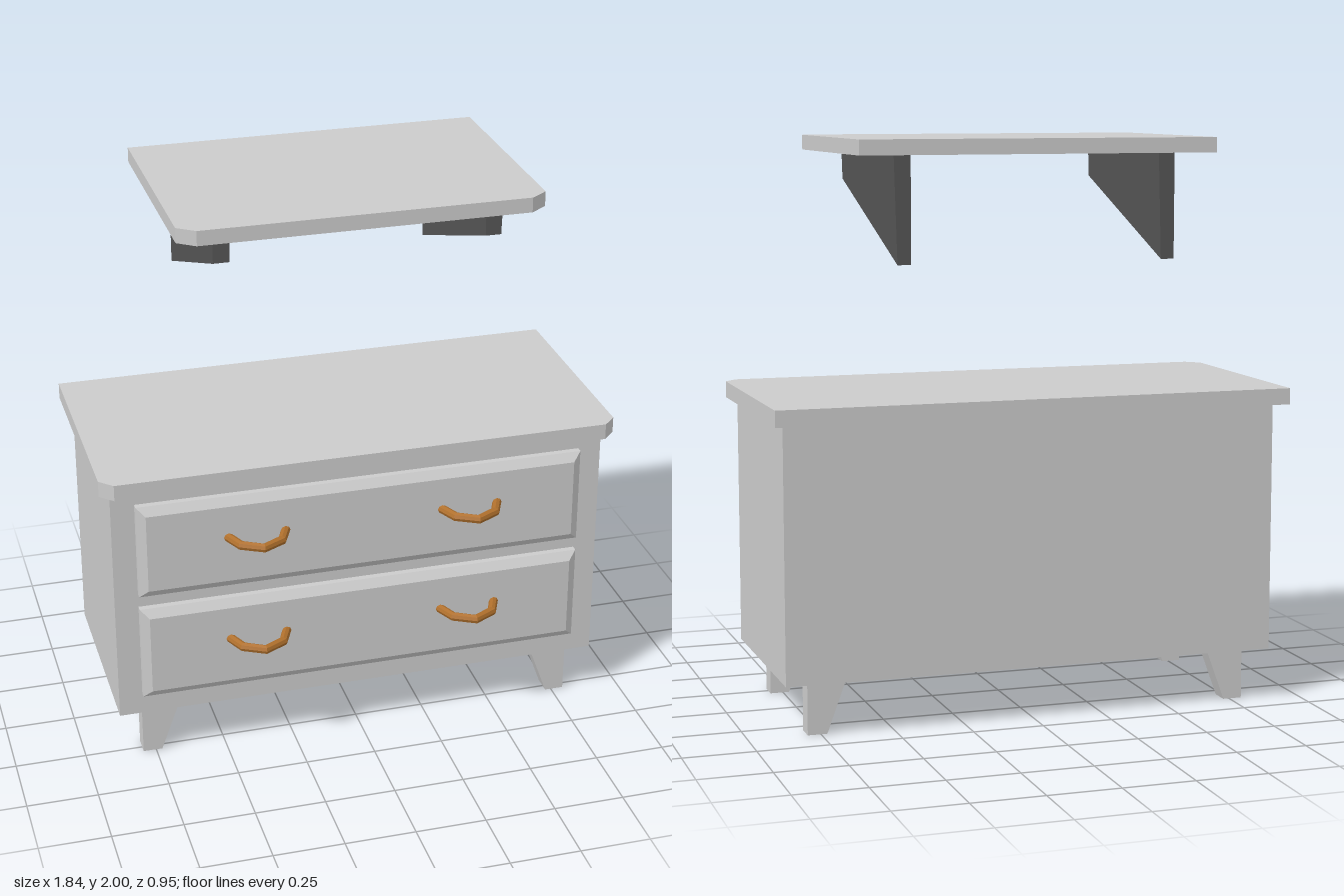
import * as THREE from 'three';

const wood = new THREE.MeshStandardMaterial({ color: 0xcccccc, flatShading: true });
const dark = new THREE.MeshStandardMaterial({ color: 0x555555, flatShading: true });
const brass = new THREE.MeshStandardMaterial({ color: 0xb0702c, flatShading: true });

function add(parent, name, geometry, material = wood) {
  const mesh = new THREE.Mesh(geometry, material);
  mesh.name = name;
  parent.add(mesh);
  return mesh;
}

function extrude(points, depth) {
  const shape = new THREE.Shape(points.map(([x, y]) => new THREE.Vector2(x, y)));
  return new THREE.ExtrudeGeometry(shape, { depth, bevelEnabled: false });
}

// Flat board with the two front corners cut off
function board(halfWidth, y0, y1, cut) {
  const back = 0.475, front = -0.37, w = halfWidth;
  const g = extrude([
    [-w, back], [-w, front + 0.045], [-w + cut, front],
    [w - cut, front], [w, front + 0.045], [w, back],
  ], y1 - y0);
  return g.rotateX(-Math.PI / 2).translate(0, y0, 0);
}

// Drawer front with a bevelled rim
function drawerFront(w, h) {
  const depth = 0.045, inset = 0.03;
  const g = new THREE.BoxGeometry(w, h, depth, 1, 1, 2);
  const p = g.attributes.position;
  for (let i = 0; i < p.count; i++) {
    if (p.getZ(i) > 0.01) {
      p.setX(i, p.getX(i) - Math.sign(p.getX(i)) * inset);
      p.setY(i, p.getY(i) - Math.sign(p.getY(i)) * inset);
    }
  }
  g.computeVertexNormals();
  return g;
}

// Faceted bow handle following straight segments
function handleGeometry() {
  const pts = [[-0.104, 0.345], [-0.072, 0.42], [0, 0.459], [0.072, 0.42], [0.104, 0.345]]
    .map(([x, z]) => new THREE.Vector3(x, 0, z));
  const path = new THREE.CurvePath();
  for (let i = 0; i < pts.length - 1; i++) path.add(new THREE.LineCurve3(pts[i], pts[i + 1]));
  // sample exactly at the corners, with averaged directions
  path.getPointAt = (u) => pts[Math.round(u * 4)].clone();
  path.getTangentAt = (u) => {
    const i = Math.round(u * 4);
    return pts[Math.min(i + 1, 4)].clone().sub(pts[Math.max(i - 1, 0)]).normalize();
  };
  return new THREE.TubeGeometry(path, 4, 0.016, 8, false);
}

// Shelf bracket, slightly thinner toward its lower edge
function bracketGeometry() {
  const g = extrude([[-0.28, 1.95], [-0.28, 1.845], [0.415, 1.585], [0.415, 1.95]], 0.058);
  g.rotateY(Math.PI / 2);
  const p = g.attributes.position;
  for (let i = 0; i < p.count; i++) {
    if (p.getX(i) > 0.03) p.setX(i, 0.058 - (1.95 - p.getY(i)) * 0.03);
  }
  g.computeVertexNormals();
  return g;
}

export function createModel() {
  const model = new THREE.Group();
  model.name = 'dresserWithShelf';

  // Cabinet
  const dresser = new THREE.Group();
  dresser.name = 'dresser';
  model.add(dresser);
  add(dresser, 'body', new THREE.BoxGeometry(1.76, 0.885, 0.725)).position.set(0, 0.6275, -0.0525);
  add(dresser, 'top', board(0.918, 1.07, 1.127, 0.045));

  // Drawers and their handles
  const rows = [[0.265, 0.617, 0.465], [0.667, 1.015, 0.867]];
  for (const [y0, y1, handleY] of rows) {
    const drawer = new THREE.Group();
    drawer.name = 'drawer';
    dresser.add(drawer);
    add(drawer, 'drawerFront', drawerFront(1.595, y1 - y0)).position.set(0, (y0 + y1) / 2, 0.3325);
    for (const side of [-1, 1]) {
      add(drawer, 'handle', handleGeometry(), brass).position.set(side * 0.383, handleY, 0);
    }
  }

  // Legs: straight outer edge, tapered inner edge
  for (const side of [-1, 1]) {
    let outline = [[0.66, 0.186], [0.728, 0], [0.796, 0], [0.796, 0.186]];
    if (side < 0) outline = outline.map(([x, y]) => [-x, y]).reverse();
    for (const z of [0.21, -0.367]) {
      add(dresser, 'leg', extrude(outline, 0.068)).position.z = z;
    }
  }

  // Wall shelf on two brackets
  const shelf = new THREE.Group();
  shelf.name = 'wallShelf';
  model.add(shelf);
  add(shelf, 'shelfBoard', board(0.628, 1.948, 2, 0.06));
  for (const x of [-0.498, 0.438]) {
    add(shelf, 'bracket', bracketGeometry(), dark).position.x = x;
  }

  return model;
}
